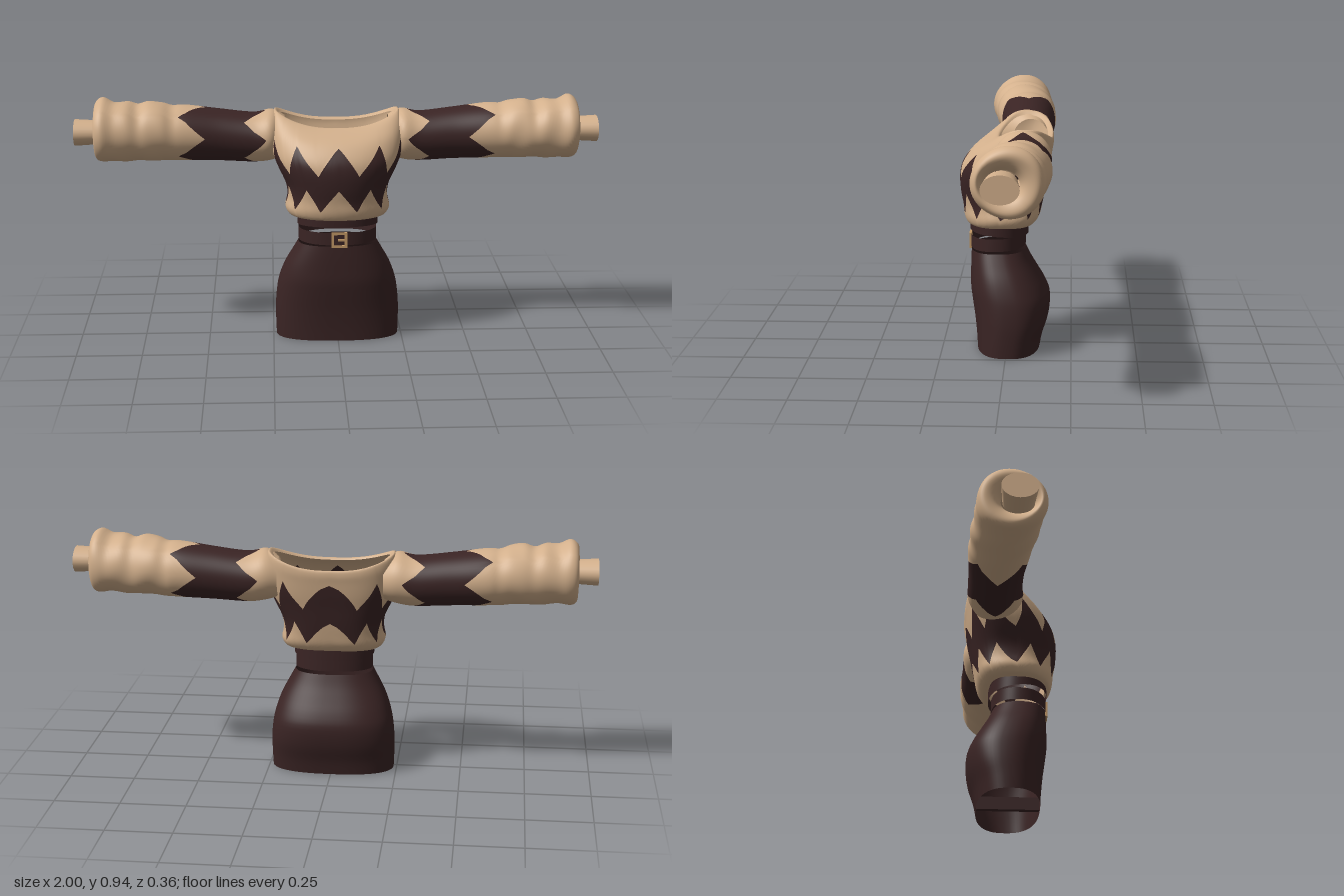
import * as THREE from 'three';

const mat = (name, color) => {
  const m = new THREE.MeshStandardMaterial({ color, side: THREE.DoubleSide });
  m.name = name;
  return m;
};

// smooth interpolation of table rows at fractional index v
function sample(rows, v) {
  const n = rows.length - 1;
  const i = Math.min(Math.max(Math.floor(v), 0), n - 1), t = v - i;
  const a = rows[Math.max(i - 1, 0)], b = rows[i], c = rows[i + 1], d = rows[Math.min(i + 2, n)];
  return b.map((_, k) => b[k] + 0.5 * t * (c[k] - a[k] + t * (2 * a[k] - 5 * b[k] + 4 * c[k] - d[k]
    + t * (3 * (b[k] - c[k]) + d[k] - a[k]))));
}

// fractional row index where the first column reaches a value
function rowAt(rows, value) {
  for (let i = 0; i < rows.length - 1; i++) {
    const a = rows[i][0], b = rows[i + 1][0];
    if (value >= a && value < b) return i + (value - a) / (b - a);
  }
  return rows.length - 1;
}

// closed band of a surface between two boundary curves lo(u) and hi(u)
function band(name, surface, lo, hi, nu, nv, material) {
  const pos = [], index = [];
  for (let j = 0; j <= nv; j++) {
    for (let i = 0; i < nu; i++) {
      const u = i / nu;
      pos.push(...surface(u, lo(u) + (hi(u) - lo(u)) * j / nv));
      if (j === nv) continue;
      const a = j * nu + i, b = j * nu + (i + 1) % nu;
      index.push(a, b, b + nu, a, b + nu, a + nu);
    }
  }
  const g = new THREE.BufferGeometry();
  g.setAttribute('position', new THREE.Float32BufferAttribute(pos, 3));
  g.setIndex(index);
  g.computeVertexNormals();
  const mesh = new THREE.Mesh(g, material);
  mesh.name = name;
  return mesh;
}

// 1 at each tooth, 0 halfway between
const tooth = (u, n) => Math.abs(1 - 2 * ((u * n) % 1));

// rounded body ring: rows are [y, halfWidth, zFront, zBack], u = 0 at the front
const bodyRing = (rows, nFront, nBack) => (u, v) => {
  const [y, w, zf, zb] = sample(rows, v);
  const a = u * Math.PI * 2, s = Math.sin(a), c = Math.cos(a);
  const p = 2 / (c > 0 ? nFront : nBack);
  const mid = (zf + zb) / 2, half = (zf - zb) / 2;
  return [w * Math.sign(s) * Math.abs(s) ** p, y, mid + half * Math.sign(c) * Math.abs(c) ** p];
};

const TORSO = [
  [0.495, 0.155, 0.135, -0.08], [0.502, 0.185, 0.155, -0.105], [0.53, 0.2, 0.166, -0.125],
  [0.57, 0.192, 0.17, -0.135], [0.62, 0.197, 0.179, -0.145], [0.68, 0.225, 0.182, -0.155],
  [0.73, 0.245, 0.17, -0.165], [0.78, 0.253, 0.132, -0.173], [0.812, 0.25, 0.083, -0.178],
  [0.833, 0.237, 0.04, -0.174], [0.826, 0.22, 0.026, -0.155],
];

// rows are [x, yCentre, zCentre, yRadius, zRadius]
const SLEEVE = [
  [0.2, 0.785, -0.085, 0.075, 0.07], [0.25, 0.79, -0.067, 0.098, 0.105], [0.32, 0.78, -0.07, 0.096, 0.103],
  [0.45, 0.79, -0.07, 0.1, 0.104], [0.58, 0.8, -0.065, 0.107, 0.115], [0.63, 0.8, -0.06, 0.106, 0.114],
  [0.67, 0.809, -0.055, 0.111, 0.12], [0.72, 0.81, -0.05, 0.114, 0.122], [0.76, 0.806, -0.047, 0.108, 0.119],
  [0.8, 0.813, -0.042, 0.115, 0.123], [0.85, 0.812, -0.038, 0.112, 0.121], [0.89, 0.819, -0.035, 0.123, 0.126],
  [0.915, 0.818, -0.035, 0.115, 0.117], [0.924, 0.817, -0.03, 0.095, 0.1], [0.912, 0.816, -0.02, 0.068, 0.078],
  [0.885, 0.815, -0.015, 0.045, 0.06],
];

const SKIRT = [
  [0.005, 0.238, 0.115, -0.127], [0.06, 0.24, 0.118, -0.138], [0.13, 0.24, 0.125, -0.16],
  [0.2, 0.233, 0.135, -0.166], [0.25, 0.221, 0.141, -0.149], [0.3, 0.202, 0.141, -0.12],
  [0.35, 0.175, 0.14, -0.091], [0.393, 0.151, 0.138, -0.071],
];

export function createModel() {
  const model = new THREE.Group();
  model.name = 'outfit';
  const cream = mat('cream knit', 0xd3b08c);
  const brown = mat('dark brown cloth', 0x3a2424);
  const gold = mat('buckle gold', 0xc49a68);

  // sweater body, with shoulders raised beside the scooped neckline
  const ring = bodyRing(TORSO, 2.2, 3);
  const torso = (u, v) => {
    const [x, y, z] = ring(u, v);
    const t = THREE.MathUtils.smoothstep(v, 5.8, 9);
    return [x, y + 0.056 * t * Math.min(1, Math.abs(x) / 0.237) ** 2.5, z];
  };
  const lower = u => rowAt(TORSO, 0.535 + 0.085 * tooth(u, 10));
  const upper = u => rowAt(TORSO, 0.675 + 0.1 * tooth(u, 10));
  const sweater = new THREE.Group();
  sweater.name = 'sweater';
  sweater.add(
    band('sweaterHem', torso, () => 0, lower, 120, 12, cream),
    band('sweaterZigzag', torso, lower, upper, 120, 14, brown),
    band('sweaterYoke', torso, upper, () => TORSO.length - 1, 120, 18, cream),
  );
  model.add(sweater);

  // sleeves with a dark chevron band, gathered puff and narrow cuff
  for (const [side, s] of [['left', 1], ['right', -1]]) {
    const sleeve = (u, v) => {
      const [x, yc, zc, ry, rz] = sample(SLEEVE, v);
      const a = u * Math.PI * 2;
      const puff = THREE.MathUtils.smoothstep(x, 0.58, 0.7);
      const k = 1 + 0.018 * puff * Math.sin(3 * a + x * 45);
      return [s * x, yc + ry * k * Math.cos(a), zc + rz * k * Math.sin(a)];
    };
    const inner = u => rowAt(SLEEVE, 0.36 - 0.085 * tooth(u, 4));
    const outer = u => rowAt(SLEEVE, 0.6 - 0.1 * tooth(u, 4));
    const g = new THREE.Group();
    g.name = side + 'Sleeve';
    g.add(
      band('shoulder', sleeve, () => 0, inner, 64, 10, cream),
      band('sleeveChevron', sleeve, inner, outer, 64, 12, brown),
      band('sleevePuff', sleeve, outer, () => SLEEVE.length - 1, 64, 44, cream),
    );
    const cuff = new THREE.Mesh(new THREE.CylinderGeometry(0.05, 0.043, 0.12, 24), cream);
    cuff.name = 'cuff';
    cuff.rotation.z = -s * Math.PI / 2;
    cuff.scale.z = 1.32;
    cuff.position.set(s * 0.94, 0.815, -0.012);
    g.add(cuff);
    model.add(g);
  }

  // straight waist bands, tilted a little toward the back
  const waist = (name, y0, y1, w, zf, zb, tilt) => {
    const rows = [[y0, w, zf, zb], [y1, w, zf, zb]];
    const flat = bodyRing(rows, 2.2, 2.2);
    const surface = (u, v) => {
      const [x, y, z] = flat(u, v);
      return [x, y + tilt * z, z];
    };
    return band(name, surface, () => 0, () => 1, 64, 2, brown);
  };
  model.add(waist('sweaterWaistband', 0.459, 0.503, 0.155, 0.144, -0.082, 0.08));
  model.add(waist('belt', 0.404, 0.453, 0.15, 0.14, -0.071, -0.04));

  // buckle: open frame with a prong
  const frame = new THREE.Shape();
  frame.moveTo(-0.03, -0.03).lineTo(0.03, -0.03).lineTo(0.03, 0.03).lineTo(-0.03, 0.03).closePath();
  const hole = new THREE.Path();
  hole.moveTo(-0.02, -0.021).lineTo(-0.02, 0.021).lineTo(0.02, 0.021).lineTo(0.02, -0.021).closePath();
  frame.holes.push(hole);
  const buckle = new THREE.Group();
  buckle.name = 'buckle';
  const rim = new THREE.Mesh(new THREE.ExtrudeGeometry(frame, { depth: 0.009, bevelEnabled: false }), gold);
  rim.name = 'buckleFrame';
  const prong = new THREE.Mesh(new THREE.BoxGeometry(0.026, 0.007, 0.006), gold);
  prong.name = 'buckleProng';
  prong.position.set(0.008, 0, 0.006);
  buckle.add(rim, prong);
  buckle.position.set(0.003, 0.42, 0.138);
  model.add(buckle);

  // skirt with a narrow strip joining front and back inside the hem
  model.add(band('skirt', bodyRing(SKIRT, 2.5, 2.5), () => 0, () => SKIRT.length - 1, 64, 24, brown));
  const strip = new THREE.Mesh(new THREE.BoxGeometry(0.022, 0.05, 0.236), brown);
  strip.name = 'skirtInnerStrip';
  strip.position.set(0, 0.033, -0.006);
  model.add(strip);

  return model;
}
